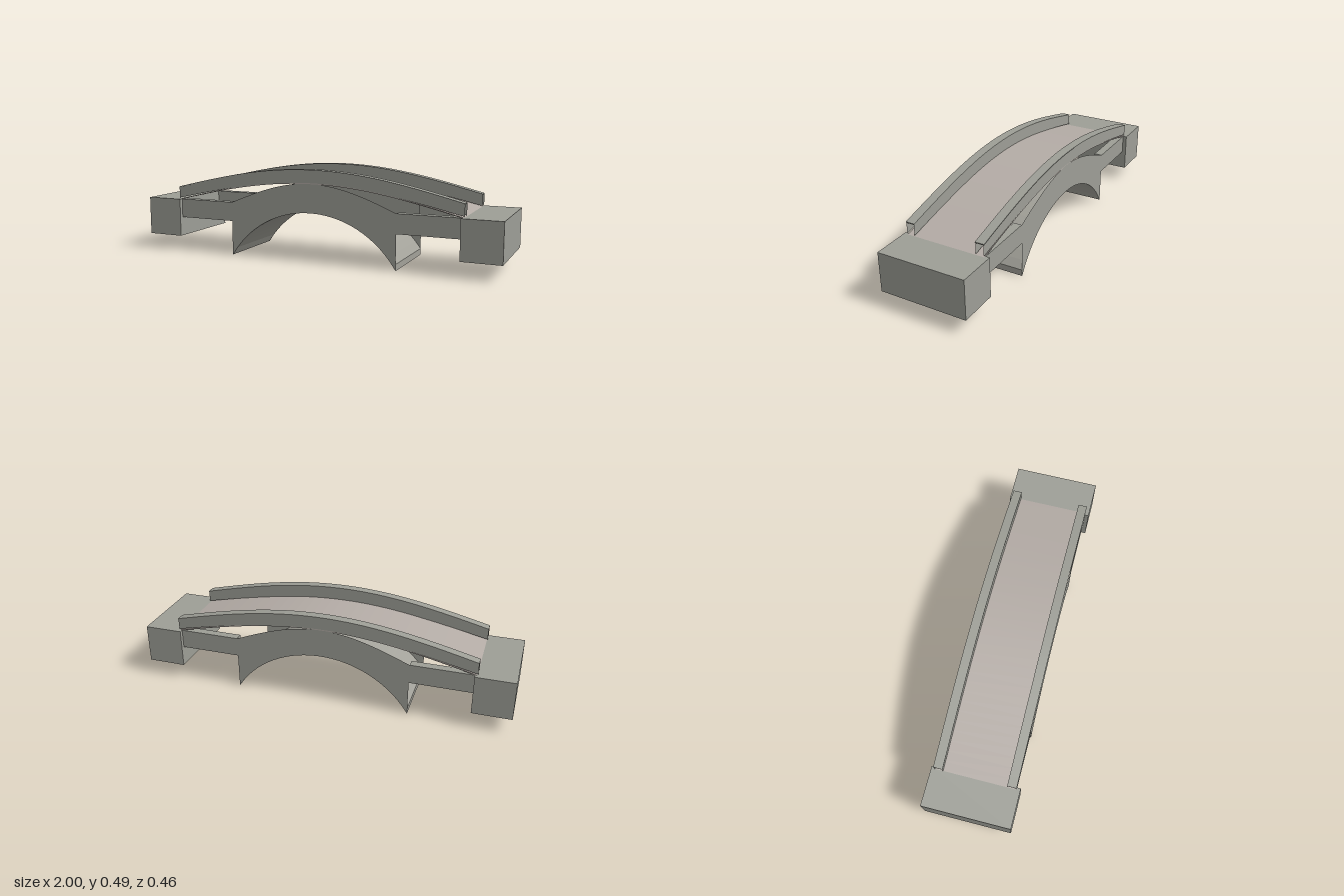
import * as THREE from 'three';

const STEPS = 32;
const paint = (color, side = THREE.FrontSide) => new THREE.MeshStandardMaterial({ color, side, flatShading: true });
const stone = paint(0x9d9e96);
const stoneSheet = paint(0x9d9e96, THREE.DoubleSide);
const barrelStone = paint(0xa2a199);
const paving = paint(0xb4aca6);

function addMesh(group, name, geometry, material) {
  const mesh = new THREE.Mesh(geometry, material);
  mesh.name = name;
  group.add(mesh);
  return mesh;
}

// Points of y = f(x) sampled from x0 to x1
function curve(f, x0, x1) {
  return Array.from({ length: STEPS + 1 }, (_, i) => {
    const x = x0 + ((x1 - x0) * i) / STEPS;
    return new THREE.Vector2(x, f(x));
  });
}

// Outline between a lower and an upper curve over x = +-half
const band = (lower, upper, half) => new THREE.Shape([...curve(lower, -half, half), ...curve(upper, half, -half)]);

// Solid of the outline between two z values
function slab(shape, z0, z1) {
  return new THREE.ExtrudeGeometry(shape, { depth: z1 - z0, bevelEnabled: false }).translate(0, 0, z0);
}

// Gentle hump falling from its crown to its ends at x = +-half
const hump = (half, end, crown) => (x) => end + (crown - end) * Math.cos((Math.PI / 2) * (x / half));

// Circular arch, centred below the ground
const arch = (radius) => (x) => -0.295 + Math.sqrt(radius * radius - x * x);

export function createModel() {
  const bridge = new THREE.Group();
  bridge.name = 'bridge';

  const SPAN = 0.47, RAIL = 0.81, WIDTH = 0.21, INNER = 0.168;
  const intrados = arch(0.555);
  const deckTop = hump(RAIL, 0.29, 0.417);
  const copingBottom = hump(RAIL, 0.355, 0.481);

  // Thin arch barrel and curved road deck across the whole width
  addMesh(bridge, 'archBarrel', slab(band(intrados, arch(0.574), SPAN), -WIDTH + 0.001, WIDTH - 0.001), barrelStone);
  addMesh(bridge, 'deck', slab(band(hump(RAIL, 0.286, 0.412), deckTop, RAIL), -WIDTH, WIDTH), paving);

  // Abutment blocks at both ends
  for (const end of [-1, 1]) {
    const block = addMesh(bridge, end > 0 ? 'leftAbutment' : 'rightAbutment', new THREE.BoxGeometry(0.205, 0.208, 0.463), stone);
    block.position.set(end * 0.8975, 0.187, 0);
  }

  // Spandrel sheet, spanning from the arch up to the deck
  const spandrel = new THREE.Shape([
    new THREE.Vector2(-SPAN, 0.29),
    ...curve(intrados, -SPAN, SPAN),
    ...curve(hump(SPAN, 0.29, 0.413), SPAN, -SPAN).slice(0, -1),
  ]);
  const railSheet = band(hump(RAIL, 0.297, 0.413), copingBottom, RAIL);
  const coping = band(copingBottom, hump(RAIL, 0.36, 0.486), RAIL);

  for (const side of [-1, 1]) {
    const label = side > 0 ? 'front' : 'back';
    addMesh(bridge, label + 'Spandrel', new THREE.ShapeGeometry(spandrel), stoneSheet).position.z = side * WIDTH;

    // Straight beams from the spandrel to the abutments
    for (const end of [-1, 1]) {
      const beam = addMesh(bridge, label + 'Beam', new THREE.BoxGeometry(0.33, 0.103, 0.045), stone);
      beam.position.set(end * 0.635, 0.2385, side * (WIDTH - 0.0225));
    }

    // Hollow parapet: two faces under an overhanging coping
    for (const z of [INNER, WIDTH]) {
      addMesh(bridge, label + 'ParapetFace', new THREE.ShapeGeometry(railSheet), stoneSheet).position.z = side * z;
    }
    const middle = side * 0.189;
    addMesh(bridge, label + 'Coping', slab(coping, middle - 0.024, middle + 0.024), stone);
  }

  return bridge;
}
